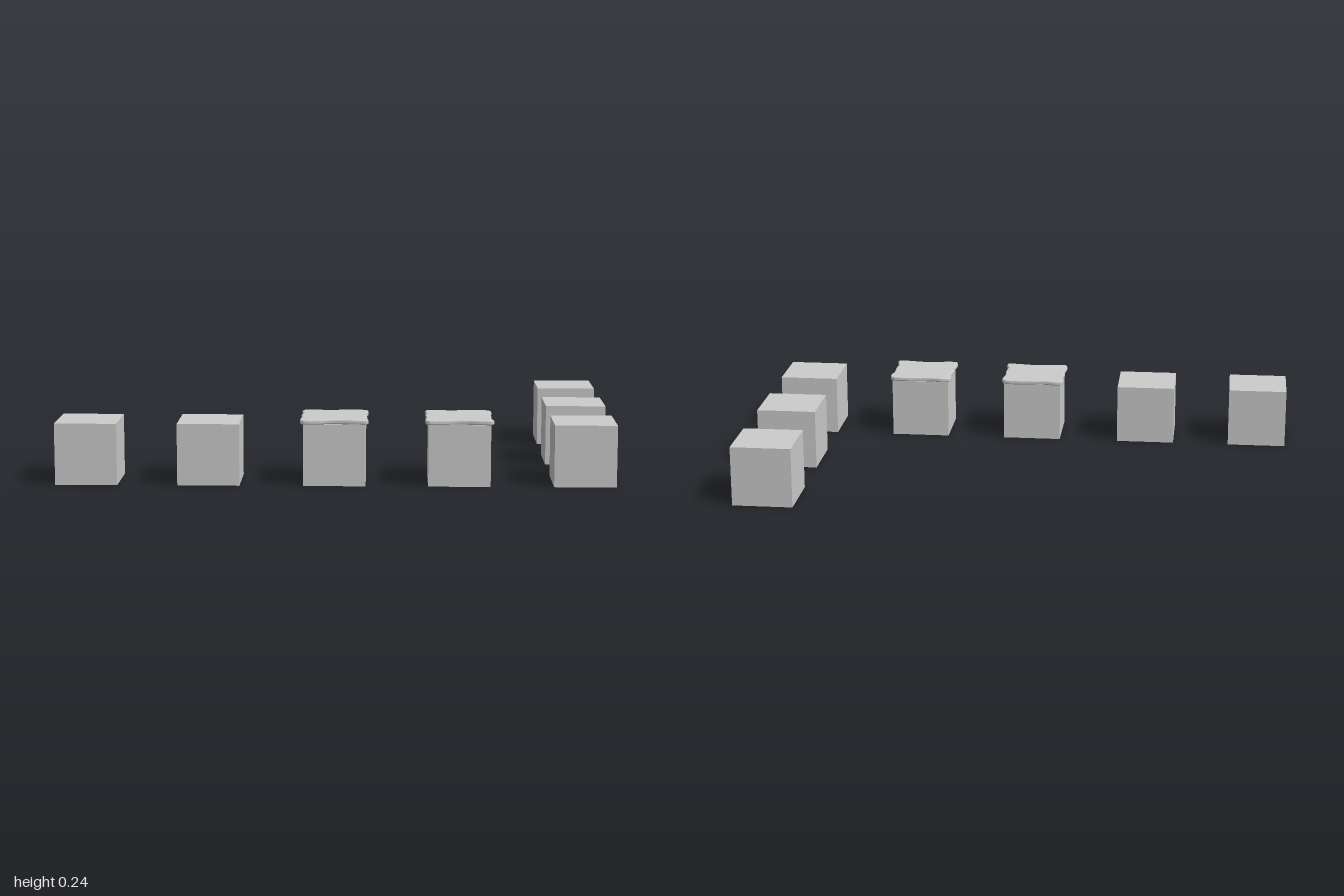
import * as THREE from 'three';

const SIZE = 0.222;
const CAP_HEIGHT = 0.017;

// Wavy, roughly square cap outline as [x, z] around the block centre
const OUTLINE = [
  [-0.117, -0.112], [-0.09, -0.121], [-0.04, -0.115], [0.02, -0.118], [0.06, -0.121], [0.112, -0.115],
  [0.12, -0.09], [0.113, -0.04], [0.116, 0.02], [0.112, 0.06], [0.121, 0.1], [0.118, 0.118],
  [0.08, 0.12], [0.03, 0.112], [-0.02, 0.11], [-0.06, 0.119], [-0.116, 0.12],
  [-0.123, 0.09], [-0.117, 0.04], [-0.121, 0], [-0.116, -0.05], [-0.121, -0.085],
];

function makeCapGeometry() {
  const points = OUTLINE.map(([x, z]) => new THREE.Vector3(x, -z, 0));
  const curve = new THREE.CatmullRomCurve3(points, true);
  const shape = new THREE.Shape(curve.getPoints(88).slice(0, -1).map((p) => new THREE.Vector2(p.x, p.y)));
  const bevel = 0.005;
  const geometry = new THREE.ExtrudeGeometry(shape, {
    depth: CAP_HEIGHT - 2 * bevel,
    bevelEnabled: true,
    bevelThickness: bevel,
    bevelSize: bevel,
    bevelOffset: -bevel,
    bevelSegments: 3,
  });
  // Lay the slab flat with its underside at y = 0
  return geometry.translate(0, 0, bevel).rotateX(-Math.PI / 2);
}

export function createModel() {
  const group = new THREE.Group();
  group.name = 'blockRow';
  const material = new THREE.MeshStandardMaterial({ color: 0xcccccc });
  const blockGeometry = new THREE.BoxGeometry(SIZE, SIZE, SIZE);
  const capGeometry = makeCapGeometry();

  // Front row, then the two blocks running back from its left end
  const blocks = [
    { x: -0.889, z: 0.438 },
    { x: -0.452, z: 0.438 },
    { x: -0.003, z: 0.438, cap: true },
    { x: 0.442, z: 0.438, cap: true },
    { x: 0.889, z: 0.438 },
    { x: 0.889, z: -0.003 },
    { x: 0.889, z: -0.449 },
  ];
  for (const { x, z, cap } of blocks) {
    const block = new THREE.Mesh(blockGeometry, material);
    block.name = 'block';
    block.position.set(x, SIZE / 2, z);
    group.add(block);
    if (cap) {
      const slab = new THREE.Mesh(capGeometry, material);
      slab.name = 'wavyCap';
      slab.position.set(x, SIZE + 0.001, z);
      group.add(slab);
    }
  }
  return group;
}
